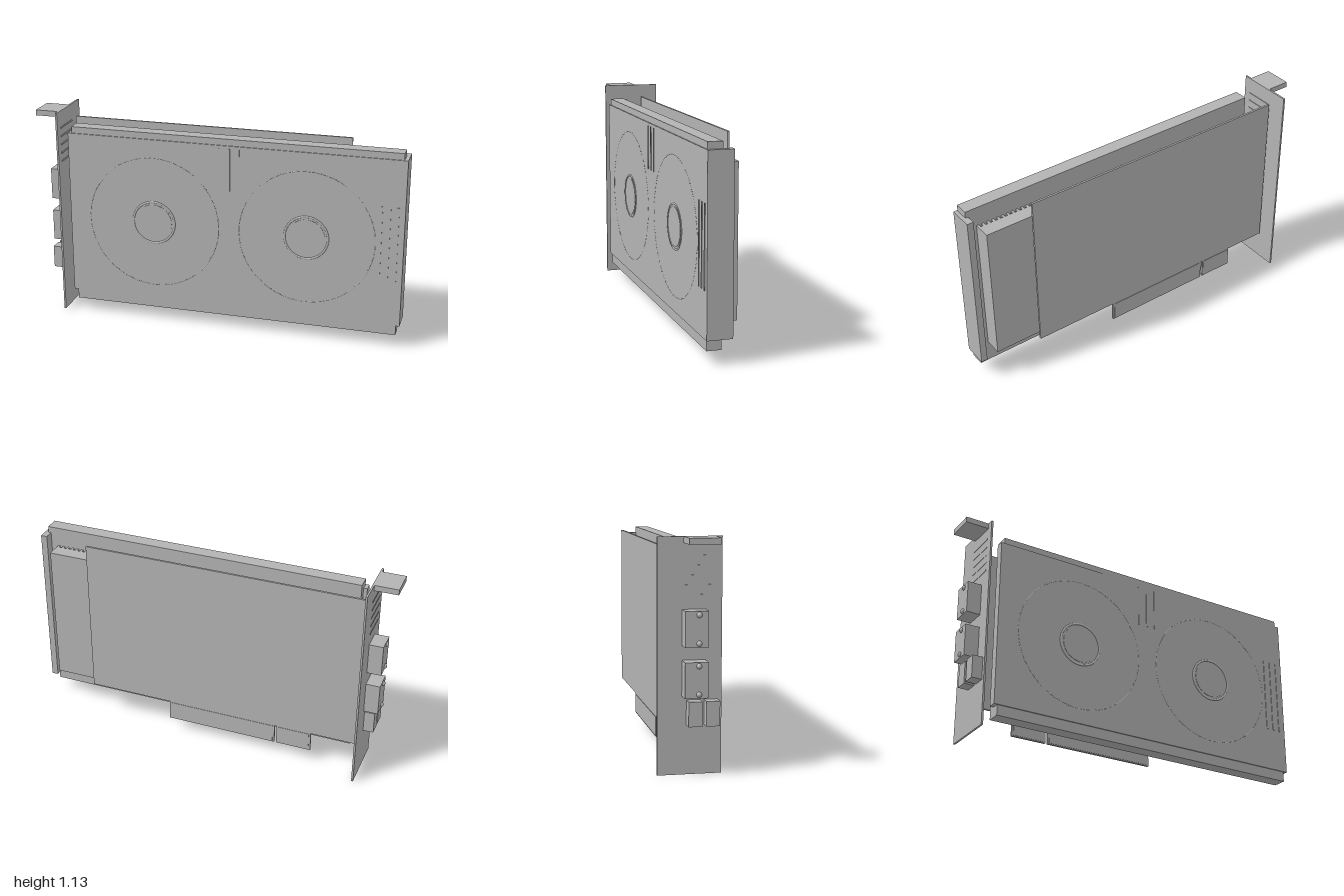
import * as THREE from 'three';

export function createModel() {
  const model = new THREE.Group();
  model.name = 'graphicsCard';
  const grey = new THREE.MeshStandardMaterial({ color: 0xb3b3b3 });
  grey.name = 'plain grey';

  const add = (name, geometry, x = 0, y = 0, z = 0) => {
    const mesh = new THREE.Mesh(geometry, grey);
    mesh.name = name;
    mesh.position.set(x, y, z);
    model.add(mesh);
    return mesh;
  };
  // Box given by its limits on each axis
  const box = (name, x0, x1, y0, y1, z0, z1) =>
    add(name, new THREE.BoxGeometry(x1 - x0, y1 - y0, z1 - z0),
      (x0 + x1) / 2, (y0 + y1) / 2, (z0 + z1) / 2);
  // Cylinder lying along z
  const disc = (name, r, x, y, z0, z1, sides = 32) =>
    add(name, new THREE.CylinderGeometry(r, r, z1 - z0, sides).rotateX(Math.PI / 2),
      x, y, (z0 + z1) / 2);

  // Mounting bracket with tab and vent slots
  box('bracket', -0.875, -0.865, 0, 1.13, -0.155, 0.155);
  box('bracketTab', -1, -0.87, 1.1, 1.13, -0.03, 0.12);
  for (let i = 0; i < 5; i++) {
    const y = 0.855 + i * 0.046;
    box('ventSlot', -0.877, -0.861, y - 0.004, y + 0.004, -0.04, 0.115);
  }

  // Large display sockets, each with two screws
  for (const y of [0.38, 0.62]) {
    box('displaySocket', -0.95, -0.875, y, y + 0.17, -0.037, 0.075);
    for (const dy of [0.018, 0.152]) {
      add('socketScrew', new THREE.SphereGeometry(0.014, 12, 8), -0.948, y + dy, 0.03);
    }
  }
  // Small sockets
  for (const z of [-0.015, 0.07]) box('smallSocket', -0.93, -0.875, 0.24, 0.36, z, z + 0.066);

  // Circuit board and its edge connector
  box('circuitBoard', -0.845, 0.685, 0.18, 1.06, -0.068, -0.057);
  box('edgeConnectorLong', -0.4, 0.216, 0.07, 0.18, -0.068, -0.057);
  box('edgeConnectorShort', -0.605, -0.412, 0.07, 0.18, -0.068, -0.057);
  box('contactsLong', -0.39, 0.206, 0.075, 0.175, -0.07, -0.055);
  box('contactsShort', -0.595, -0.42, 0.075, 0.175, -0.07, -0.055);

  // Components between board and cooler
  for (const x of [0.095, 0.175, 0.232]) disc('capacitor', 0.025, x, 0.26, -0.058, -0.025, 24);
  box('coil', 0.15, 0.2, 0.215, 0.235, -0.058, -0.025);
  for (let i = 0; i < 6; i++) {
    const x = -0.19 + i * 0.045;
    box('pin', x, x + 0.025, 0.2, 0.21, -0.058, -0.051);
  }

  // Heatsink block with fins toward the shroud
  box('heatsink', -0.74, 0.925, 0.19, 0.955, -0.028, 0.05);
  for (let i = 0; i < 60; i++) {
    const x = -0.74 + i * 0.028;
    box('heatsinkFin', x, x + 0.013, 0.19, 0.955, 0.05, 0.07);
  }

  // Shroud body, front plate and end caps
  box('shroudBody', -0.79, 0.98, 0.07, 1.06, 0.068, 0.143);
  box('frontPlate', -0.81, 1, 0.125, 1.025, 0.135, 0.149);
  box('rightEndCap', 0.965, 1, 0.125, 1.025, 0.018, 0.149);
  box('leftEndCap', -0.81, -0.79, 0.125, 1.025, 0.105, 0.149);

  // Two fans: outer ring, hub and hub ring, nearly flush
  for (const x of [-0.335, 0.495]) {
    add('fanRing', new THREE.TorusGeometry(0.36, 0.004, 6, 64), x, 0.565, 0.146);
    add('hubRing', new THREE.TorusGeometry(0.115, 0.007, 6, 48), x, 0.565, 0.146);
    disc('fanHub', 0.1, x, 0.565, 0.146, 0.151, 40);
  }

  // Raised ribs on the front plate
  for (let i = 0; i < 3; i++) {
    const a = 0.03 + i * 0.05, b = 0.88 + i * 0.042;
    box('upperRib', a - 0.005, a + 0.005, 0.78, 1.01, 0.147, 0.152);
    box('sideRib', b - 0.005, b + 0.005, 0.36, 0.775, 0.147, 0.152);
  }
  return model;
}
